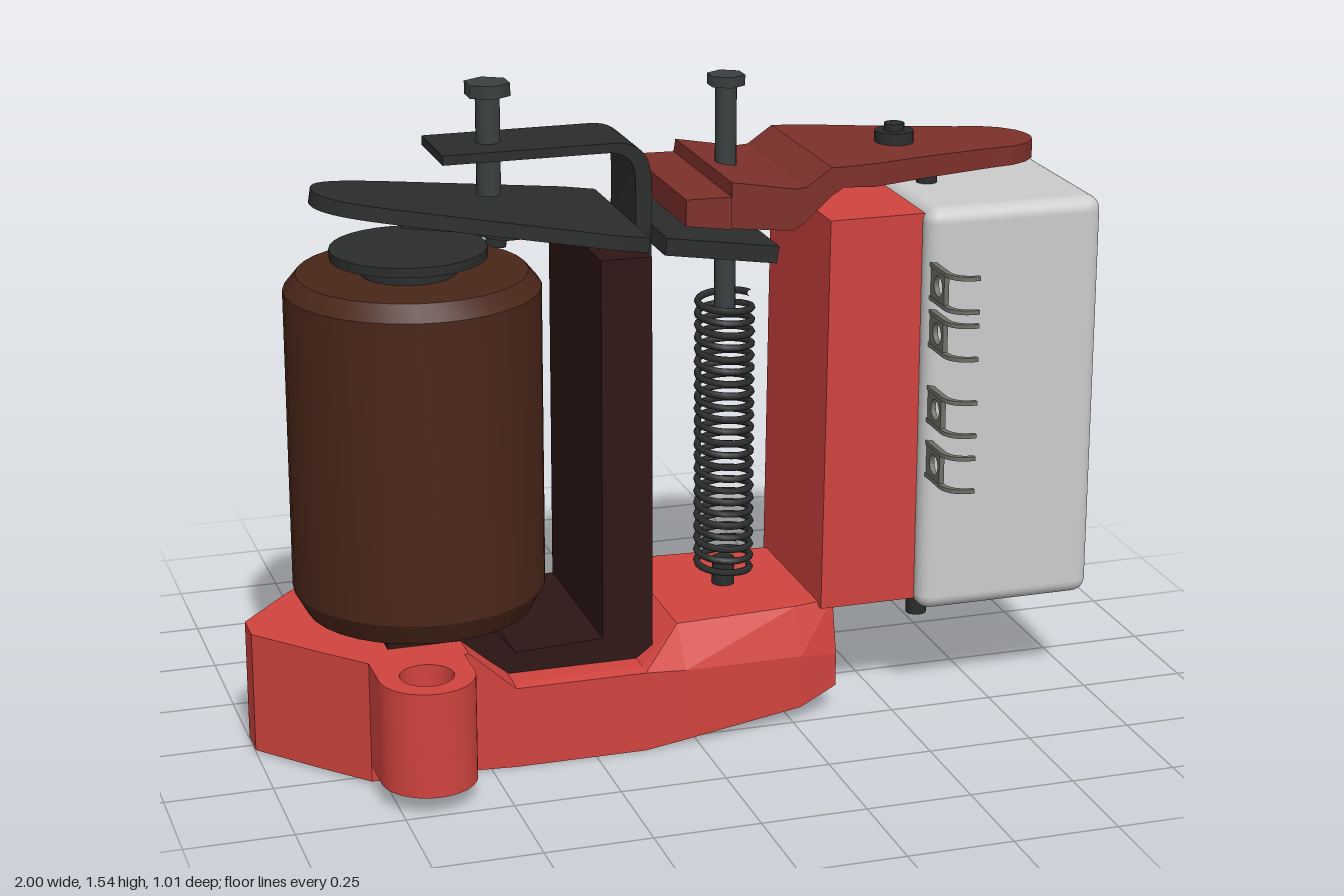
import * as THREE from 'three';
import { toCreasedNormals } from 'three/addons/utils/BufferGeometryUtils.js';
import { RoundedBoxGeometry } from 'three/addons/geometries/RoundedBoxGeometry.js';

const mat = (color, flat = false) => new THREE.MeshStandardMaterial({ color, flatShading: flat });
const RED = mat(0xd0433e, true), DARK_RED = mat(0x7d302b, true), BROWN = mat(0x4a2619);
const BRACKET = mat(0x2e1615), BLACK = mat(0x2b2d2d), STEEL = mat(0x3a3f3f);
const CONTACT = mat(0x6c7168), GREY = mat(0xcccccc);

export function createModel() {
  const model = new THREE.Group();

  function add(name, geometry, material, x = 0, y = 0, z = 0, parent = model) {
    const mesh = new THREE.Mesh(geometry, material);
    mesh.name = name;
    mesh.position.set(x, y, z);
    parent.add(mesh);
    return mesh;
  }

  // Upright cylinder between two heights
  function rod(name, material, x, y0, y1, r, sides = 20, z = 0, parent = model) {
    return add(name, new THREE.CylinderGeometry(r, r, y1 - y0, sides), material, x, (y0 + y1) / 2, z, parent);
  }

  const shapeOf = (pts) => new THREE.Shape(pts.map(([x, y]) => new THREE.Vector2(x, y)));

  // Side profile in x/y given a width along z
  function profile(shape, width) {
    const g = new THREE.ExtrudeGeometry(shape, { depth: width, bevelEnabled: false, curveSegments: 10 });
    return toCreasedNormals(g.translate(0, 0, -width / 2), 0.6);
  }

  // Plan outline in x/z given a height along y
  function plate(shape, height) {
    const g = new THREE.ExtrudeGeometry(shape, { depth: height, bevelEnabled: false, curveSegments: 16 });
    return toCreasedNormals(g.rotateX(-Math.PI / 2), 0.6);
  }

  // Hexagonal sections along x: [x, bottomY, shoulderY, topY, halfWidth, topHalfWidth]
  function loft(sections) {
    const rings = sections.map(([x, yb, ys, yt, w, wt]) =>
      [[-w, yb], [-w, ys], [-wt, yt], [wt, yt], [w, ys], [w, yb]].map(([z, y]) => [x, y, z]));
    const pos = [];
    const tri = (a, b, c) => pos.push(...a, ...b, ...c);
    for (let i = 0; i < rings.length - 1; i++) {
      for (let j = 0; j < 6; j++) {
        const k = (j + 1) % 6, p = rings[i], q = rings[i + 1];
        tri(p[j], p[k], q[j]);
        tri(p[k], q[k], q[j]);
      }
    }
    const first = rings[0], last = rings[rings.length - 1];
    for (let j = 1; j < 5; j++) {
      tri(first[0], first[j + 1], first[j]);
      tri(last[0], last[j], last[j + 1]);
    }
    const g = new THREE.BufferGeometry();
    g.setAttribute('position', new THREE.Float32BufferAttribute(pos, 3));
    g.computeVertexNormals();
    return g;
  }

  // Base casting with pointed end and chamfered far end
  add('base', loft([
    [-1.0, 0.01, 0.30, 0.30, 0.04, 0.04],
    [-0.88, 0.01, 0.30, 0.30, 0.18, 0.18],
    [-0.78, 0.01, 0.30, 0.30, 0.29, 0.29],
    [-0.55, 0.01, 0.30, 0.30, 0.30, 0.30],
    [-0.44, 0.005, 0.20, 0.205, 0.30, 0.28],
    [-0.13, 0.005, 0.20, 0.205, 0.30, 0.27],
    [-0.03, 0.015, 0.19, 0.28, 0.29, 0.22],
    [0.27, 0.04, 0.17, 0.28, 0.245, 0.20],
    [0.37, 0.07, 0.15, 0.28, 0.21, 0.18],
  ]), RED);

  // Mounting ears with through holes
  for (const side of [1, -1]) {
    const ear = new THREE.Shape();
    ear.moveTo(-0.11, -0.16);
    ear.lineTo(0.11, -0.16);
    ear.lineTo(0.11, 0);
    ear.absarc(0, 0, 0.11, 0, Math.PI, false);
    ear.closePath();
    ear.holes.push(new THREE.Path().absarc(0, 0, 0.062, 0, Math.PI * 2, true));
    const mesh = add('mountingEar', plate(ear, 0.25), RED.clone(), -0.67, 0.05, side * 0.393);
    mesh.material.flatShading = false;
    mesh.rotation.y = side > 0 ? Math.PI : 0;
  }

  // Column carrying the switch housing
  add('column', profile(shapeOf([[0.33, 0.27], [0.575, 0.27], [0.575, 1.22], [0.34, 1.22]]), 0.42), RED);

  // Coil with its iron core
  add('coil', toCreasedNormals(new THREE.LatheGeometry([
    [0, 0.315], [0.265, 0.315], [0.295, 0.37], [0.295, 1.085], [0.265, 1.122], [0, 1.122],
  ].map(([r, y]) => new THREE.Vector2(r, y)), 32), 0.4), BROWN, -0.59, 0, -0.01);
  rod('coreFoot', BRACKET, -0.59, 0.28, 0.32, 0.13, 28);
  rod('coreNeck', BLACK, -0.6, 1.11, 1.165, 0.11, 28);
  rod('coreCap', BLACK, -0.6, 1.16, 1.182, 0.18, 32);

  // L-shaped iron bracket
  add('bracket', profile(shapeOf([
    [-0.72, 0.295], [-0.55, 0.295], [-0.43, 0.2], [-0.13, 0.2], [-0.09, 0.23], [-0.09, 1.175],
    [-0.21, 1.175], [-0.21, 0.265], [-0.42, 0.255], [-0.47, 0.315], [-0.72, 0.315],
  ]), 0.44), BRACKET);

  // Tilted armature: main tongue, tail plate and leaf beneath
  const armature = new THREE.Group();
  armature.name = 'armature';
  armature.position.set(-0.305, 1.235, 0);
  armature.rotation.z = -0.153;
  model.add(armature);
  const tongue = new THREE.Shape();
  tongue.moveTo(0.21, -0.225);
  tongue.lineTo(0.21, 0.225);
  tongue.lineTo(0.13, 0.225);
  tongue.lineTo(-0.3, 0.145);
  tongue.bezierCurveTo(-0.42, 0.12, -0.522, 0.1, -0.522, 0);
  tongue.bezierCurveTo(-0.522, -0.1, -0.42, -0.12, -0.3, -0.145);
  tongue.lineTo(0.13, -0.225);
  tongue.closePath();
  add('armatureTongue', plate(tongue, 0.034), BLACK, 0, -0.017, 0, armature);
  add('armatureTail', new THREE.BoxGeometry(0.27, 0.04, 0.44), BLACK, 0.386, -0.002, 0, armature);
  add('armatureLeaf', new THREE.BoxGeometry(0.46, 0.016, 0.2), BLACK, -0.1, -0.024, 0, armature);
  rod('armatureNut', BLACK, -0.08, -0.055, -0.03, 0.06, 6, 0, armature);
  rod('armatureStud', BLACK, -0.08, -0.08, -0.05, 0.025, 12, 0, armature);

  // Bent stop strip above the armature
  const stop = new THREE.Shape();
  stop.moveTo(-0.54, 1.39);
  stop.lineTo(-0.15, 1.39);
  stop.quadraticCurveTo(-0.092, 1.385, -0.092, 1.32);
  stop.lineTo(-0.092, 1.0);
  stop.lineTo(-0.055, 1.0);
  stop.lineTo(-0.055, 1.33);
  stop.quadraticCurveTo(-0.06, 1.41, -0.14, 1.412);
  stop.lineTo(-0.54, 1.412);
  stop.closePath();
  add('stopStrip', profile(stop, 0.2), BLACK);

  // Adjusting screw
  rod('stopScrewShaft', STEEL, -0.41, 1.29, 1.53, 0.028);
  rod('stopScrewHead', STEEL, -0.41, 1.52, 1.55, 0.054, 6);

  // Return spring with end pins and tension screw
  class Helix extends THREE.Curve {
    getPoint(t, target = new THREE.Vector3()) {
      const a = t * 23 * Math.PI * 2;
      return target.set(Math.cos(a) * 0.064, 0.32 + t * 0.68, Math.sin(a) * 0.064);
    }
  }
  add('spring', new THREE.TubeGeometry(new Helix(), 23 * 20, 0.0085, 6), BLACK, 0.155, 0, 0);
  rod('springPin', BLACK, 0.155, 0.27, 0.345, 0.027);
  rod('springScrewShaft', STEEL, 0.155, 0.96, 1.51, 0.025);
  rod('springScrewHead', STEEL, 0.155, 1.505, 1.53, 0.045, 6);

  // Cranked lever with stepped back end and rounded tip
  const lever = [
    [-0.01, 1.238, 1.30, 0.22], [0.098, 1.222, 1.298, 0.22], [0.1, 1.222, 1.33, 0.212],
    [0.25, 1.205, 1.303, 0.212], [0.28, 1.225, 1.305, 0.212], [0.34, 1.28, 1.346, 0.212],
    [0.37, 1.297, 1.345, 0.21],
  ];
  for (const [x, w] of [[0.45, 0.195], [0.6, 0.152], [0.77, 0.112], [0.83, 0.102], [0.87, 0.082], [0.9, 0.05], [0.912, 0.015]])
    lever.push([x, 1.288, 1.345 - (x - 0.37) * 0.025, w]);
  add('lever', loft(lever.map(([x, yb, yt, w]) => [x, yb, (yb + yt) / 2, yt, w, w])), DARK_RED);

  // Lever pivot screw with nut below
  rod('pivotWasher', BLACK, 0.57, 1.335, 1.368, 0.046);
  rod('pivotHead', BLACK, 0.57, 1.36, 1.385, 0.024);
  rod('pivotNut', BLACK, 0.57, 1.268, 1.292, 0.046, 6);
  rod('pivotTip', BLACK, 0.57, 1.25, 1.27, 0.022);

  // Switch housing with plunger
  add('switchHousing', new RoundedBoxGeometry(0.435, 0.988, 0.504, 4, 0.035), GREY, 0.782, 0.742, 0);
  rod('plungerTop', BLACK, 0.655, 1.22, 1.292, 0.025);
  rod('plungerBottom', BLACK, 0.655, 0.145, 0.26, 0.025);

  // Forked contacts on both sides of the housing
  const tab = shapeOf([[0.2, -0.045], [0.325, -0.045], [0.325, 0.045], [0.2, 0.045]]);
  tab.holes.push(new THREE.Path().absarc(0.288, 0, 0.025, 0, Math.PI * 2, true));
  const tabGeometry = new THREE.ExtrudeGeometry(tab, { depth: 0.012, bevelEnabled: false, curveSegments: 10 })
    .rotateY(-Math.PI / 2);
  const prong = new THREE.Shape();
  prong.moveTo(0.573, 0.2);
  prong.lineTo(0.573, 0.335);
  prong.quadraticCurveTo(0.58, 0.385, 0.64, 0.385);
  prong.lineTo(0.64, 0.375);
  prong.quadraticCurveTo(0.59, 0.372, 0.587, 0.33);
  prong.lineTo(0.587, 0.2);
  prong.closePath();
  const prongGeometry = plate(prong, 0.01).translate(0, -0.005, 0);
  for (const y of [1.066, 0.953, 0.768, 0.633]) {
    for (const side of [1, -1]) {
      const contact = new THREE.Group();
      contact.name = 'contact';
      contact.position.y = y;
      model.add(contact);
      const plateMesh = add('contactPlate', tabGeometry, CONTACT, side > 0 ? 0.587 : 0.573, 0, 0, contact);
      plateMesh.rotation.y = side > 0 ? 0 : Math.PI;
      for (const dy of [-0.04, 0.04]) {
        const p = add('contactProng', prongGeometry, CONTACT, 0, dy, 0, contact);
        if (side > 0) p.rotation.x = Math.PI;
      }
    }
  }

  return model;
}
